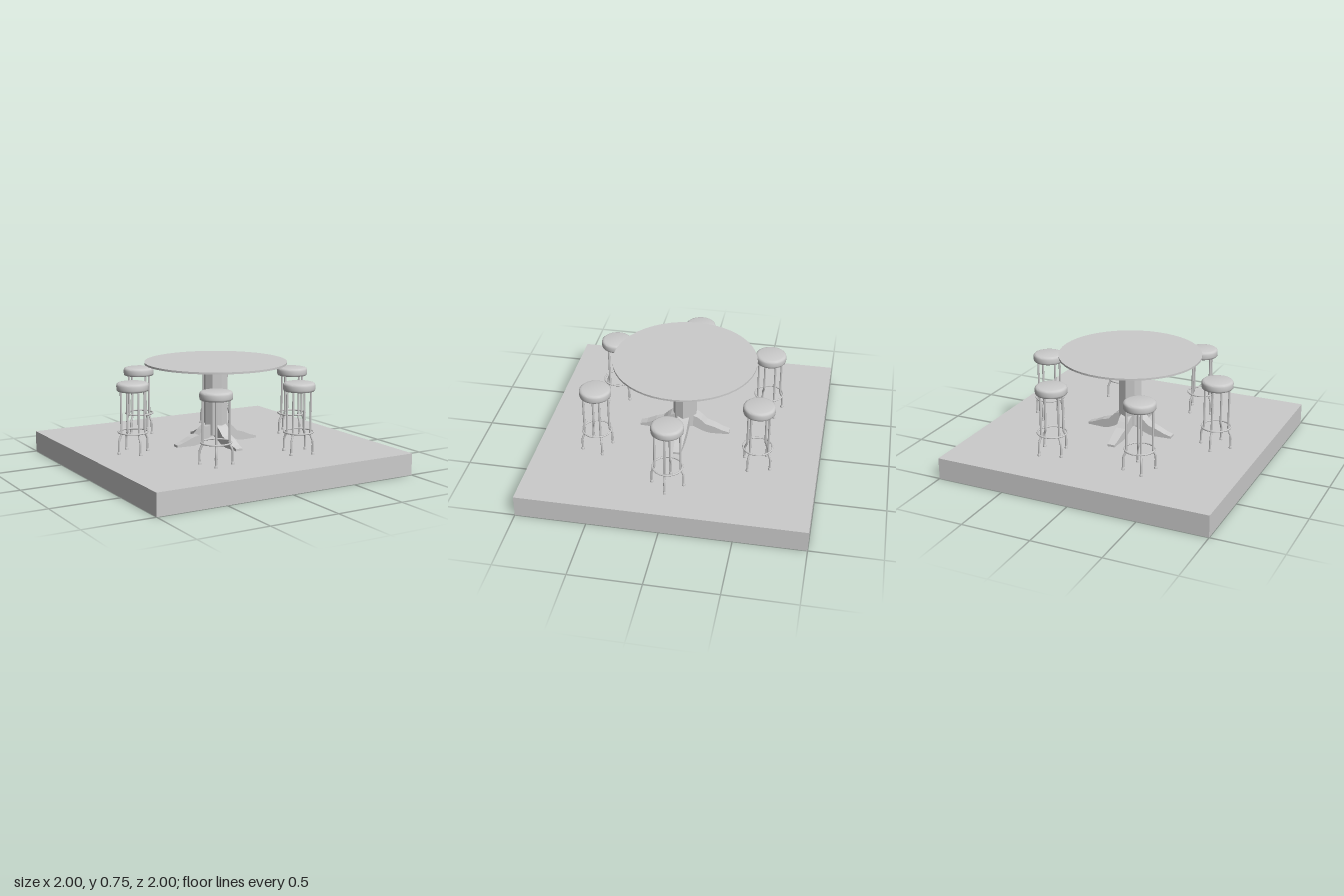
import * as THREE from 'three';
import { toCreasedNormals } from 'three/addons/utils/BufferGeometryUtils.js';

const material = new THREE.MeshStandardMaterial({ color: 0xcccccc });
const FLOOR = 0.155;

function add(parent, name, geometry, x = 0, y = 0, z = 0) {
  const mesh = new THREE.Mesh(geometry, material);
  mesh.name = name;
  mesh.position.set(x, y, z);
  parent.add(mesh);
  return mesh;
}

function lathe(points, segments) {
  const profile = points.map(([r, y]) => new THREE.Vector2(r, y));
  return toCreasedNormals(new THREE.LatheGeometry(profile, segments), 0.7);
}

// Side profile in (radius, height), with a half width that depends on the radius
function bracket(points, halfWidth) {
  const shape = new THREE.Shape(points.map(([r, y]) => new THREE.Vector2(r, y)));
  const geometry = new THREE.ExtrudeGeometry(shape, { depth: 2, bevelEnabled: false });
  geometry.translate(0, 0, -1);
  const p = geometry.attributes.position;
  for (let i = 0; i < p.count; i++) p.setZ(i, p.getZ(i) * halfWidth(p.getX(i)));
  geometry.computeVertexNormals();
  return geometry;
}

function createTable() {
  const table = new THREE.Group();
  table.name = 'table';
  add(table, 'tableTop', toCreasedNormals(new THREE.CylinderGeometry(0.512, 0.512, 0.014, 48), 0.7), 0, 0.743, 0);

  // Octagonal column with a corner facing front
  const column = new THREE.CylinderGeometry(0.086, 0.086, 0.516, 8).toNonIndexed();
  column.computeVertexNormals();
  add(table, 'column', column, 0, 0.478, 0);

  const foot = bracket([
    [0.04, 0.215], [0.075, 0.205], [0.12, 0.18], [0.16, 0.163], [0.2, FLOOR], [0.33, FLOOR],
    [0.33, 0.171], [0.28, 0.185], [0.215, 0.214], [0.16, 0.23], [0.125, 0.265], [0.1, 0.285], [0.07, 0.298], [0.04, 0.298],
  ], r => THREE.MathUtils.mapLinear(r, 0.04, 0.33, 0.045, 0.027));
  const arm = bracket([
    [0.04, 0.698], [0.09, 0.701], [0.15, 0.714], [0.23, 0.722], [0.375, 0.729], [0.375, 0.737], [0.04, 0.737],
  ], () => 0.032);

  // Four feet and four arms under the top
  for (let i = 0; i < 4; i++) {
    add(table, 'foot', foot).rotation.y = i * Math.PI / 2;
    add(table, 'topSupport', arm).rotation.y = i * Math.PI / 2;
  }
  return table;
}

// Stool parts, shared by all stools
const seatGeometry = lathe([
  [0, 0.6], [0.088, 0.6], [0.092, 0.594], [0.105, 0.594], [0.11, 0.599], [0.112, 0.608],
  [0.112, 0.634], [0.109, 0.644], [0.102, 0.65], [0.09, 0.653], [0, 0.654],
], 32);
const ringGeometry = new THREE.TorusGeometry(0.103, 0.006, 8, 32).rotateX(Math.PI / 2);
const glideGeometry = lathe([[0, FLOOR], [0.012, FLOOR], [0.012, 0.163], [0.008, 0.174], [0, 0.174]], 10);

const legPath = new THREE.CurvePath();
const v = (r, y) => new THREE.Vector3(r, y, 0);
legPath.add(new THREE.LineCurve3(v(0.09, 0.603), v(0.09, 0.31)));
legPath.add(new THREE.CubicBezierCurve3(v(0.09, 0.31), v(0.09, 0.27), v(0.111, 0.275), v(0.111, 0.225)));
legPath.add(new THREE.LineCurve3(v(0.111, 0.225), v(0.111, 0.165)));
const legGeometry = new THREE.TubeGeometry(legPath, 36, 0.008, 8);

function createStool() {
  const stool = new THREE.Group();
  stool.name = 'stool';
  add(stool, 'seat', seatGeometry);
  add(stool, 'footRing', ringGeometry, 0, 0.305, 0);
  for (let i = 0; i < 4; i++) {
    const leg = new THREE.Group();
    leg.name = 'stoolLeg';
    leg.rotation.y = i * Math.PI / 2;
    add(leg, 'legTube', legGeometry);
    add(leg, 'legGlide', glideGeometry, 0.111, 0, 0);
    stool.add(leg);
  }
  return stool;
}

export function createModel() {
  const model = new THREE.Group();
  model.name = 'tableWithStools';
  add(model, 'platform', new THREE.BoxGeometry(2, FLOOR, 2), 0, FLOOR / 2, 0);
  model.add(createTable());

  // Six stools around the table, each turned towards its centre
  for (let i = 0; i < 6; i++) {
    const angle = i * Math.PI / 3;
    const stool = createStool();
    stool.position.set(0.664 * Math.cos(angle), 0, -0.664 * Math.sin(angle));
    stool.rotation.y = angle;
    model.add(stool);
  }
  return model;
}
